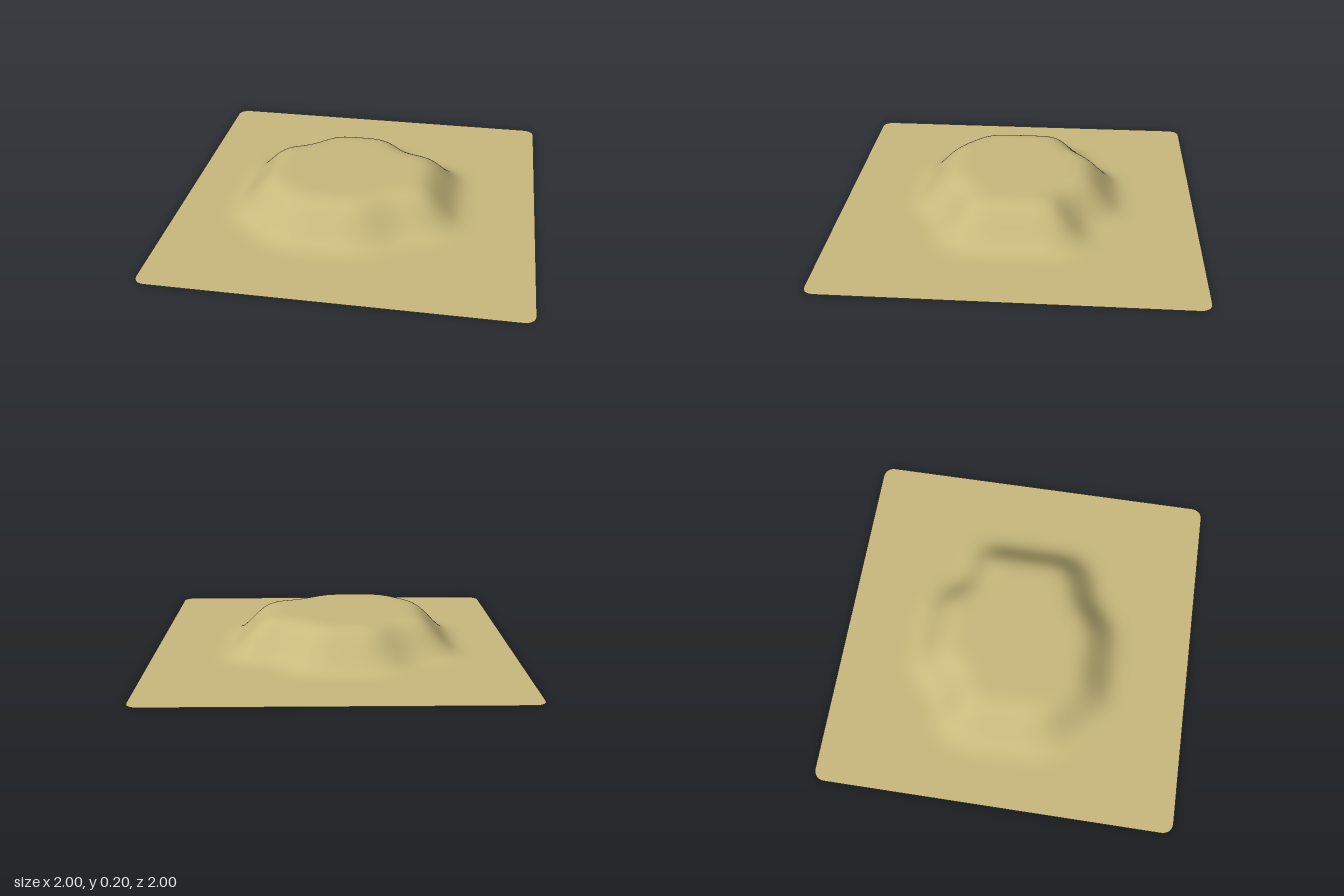
import * as THREE from 'three';

const CELLS = 100, N = CELLS + 1, STEP = 2 / CELLS;
const HEIGHT = 0.2, CORNER = 0.06;

// Mid-slope outline of the plateau, as [x, z]
const OUTLINE = [
  [-0.58, -0.27], [-0.38, -0.32], [-0.25, -0.48], [0.14, -0.48], [0.25, -0.31], [0.48, -0.29],
  [0.48, 0.28], [0.22, 0.36], [0.09, 0.48], [-0.33, 0.48], [-0.58, 0.25],
];

function inside(x, z) {
  let hit = false;
  OUTLINE.forEach(([ax, az], i) => {
    const [bx, bz] = OUTLINE[(i + 1) % OUTLINE.length];
    if ((az > z) !== (bz > z) && x < ax + (bx - ax) * (z - az) / (bz - az)) hit = !hit;
  });
  return hit;
}

// Averages the grid along one axis (stride 1 = x, stride N = z)
function blur(grid, stride, radius) {
  return grid.map((_, i) => {
    let sum = 0;
    for (let k = -radius; k <= radius; k++) sum += grid[i + k * stride] ?? 0;
    return sum / (2 * radius + 1);
  });
}

// Plateau mask, softened into gentle slopes
function heights() {
  let grid = new Float32Array(N * N);
  for (let j = 0; j < N; j++) {
    for (let i = 0; i < N; i++) {
      let count = 0;
      for (let s = 0; s < 16; s++) {
        const dx = ((s % 4) - 1.5) / 4, dz = (Math.floor(s / 4) - 1.5) / 4;
        if (inside((i + dx) * STEP - 1, (j + dz) * STEP - 1)) count++;
      }
      grid[j * N + i] = count / 16;
    }
  }
  for (let pass = 0; pass < 3; pass++) grid = blur(blur(grid, 1, 3), N, 3);
  return grid;
}

export function createModel() {
  const group = new THREE.Group();
  group.name = 'terrain';

  const geometry = new THREE.PlaneGeometry(2, 2, CELLS, CELLS).rotateX(-Math.PI / 2);
  const position = geometry.attributes.position;
  const height = heights();
  const inner = 1 - CORNER;
  for (let i = 0; i < position.count; i++) {
    let x = position.getX(i), z = position.getZ(i);
    // Round the sheet corners by squeezing each corner square into a quarter disc
    const u = Math.abs(x) - inner, v = Math.abs(z) - inner;
    if (u > 1e-6 && v > 1e-6) {
      const k = Math.max(u, v) / Math.hypot(u, v);
      x = Math.sign(x) * (inner + u * k);
      z = Math.sign(z) * (inner + v * k);
    }
    position.setXYZ(i, x, height[i] * HEIGHT, z);
  }
  geometry.computeVertexNormals();

  const sheet = new THREE.Mesh(
    geometry,
    new THREE.MeshStandardMaterial({ color: 0xc8b97c, side: THREE.DoubleSide }),
  );
  sheet.name = 'plateauGround';
  group.add(sheet);
  return group;
}
